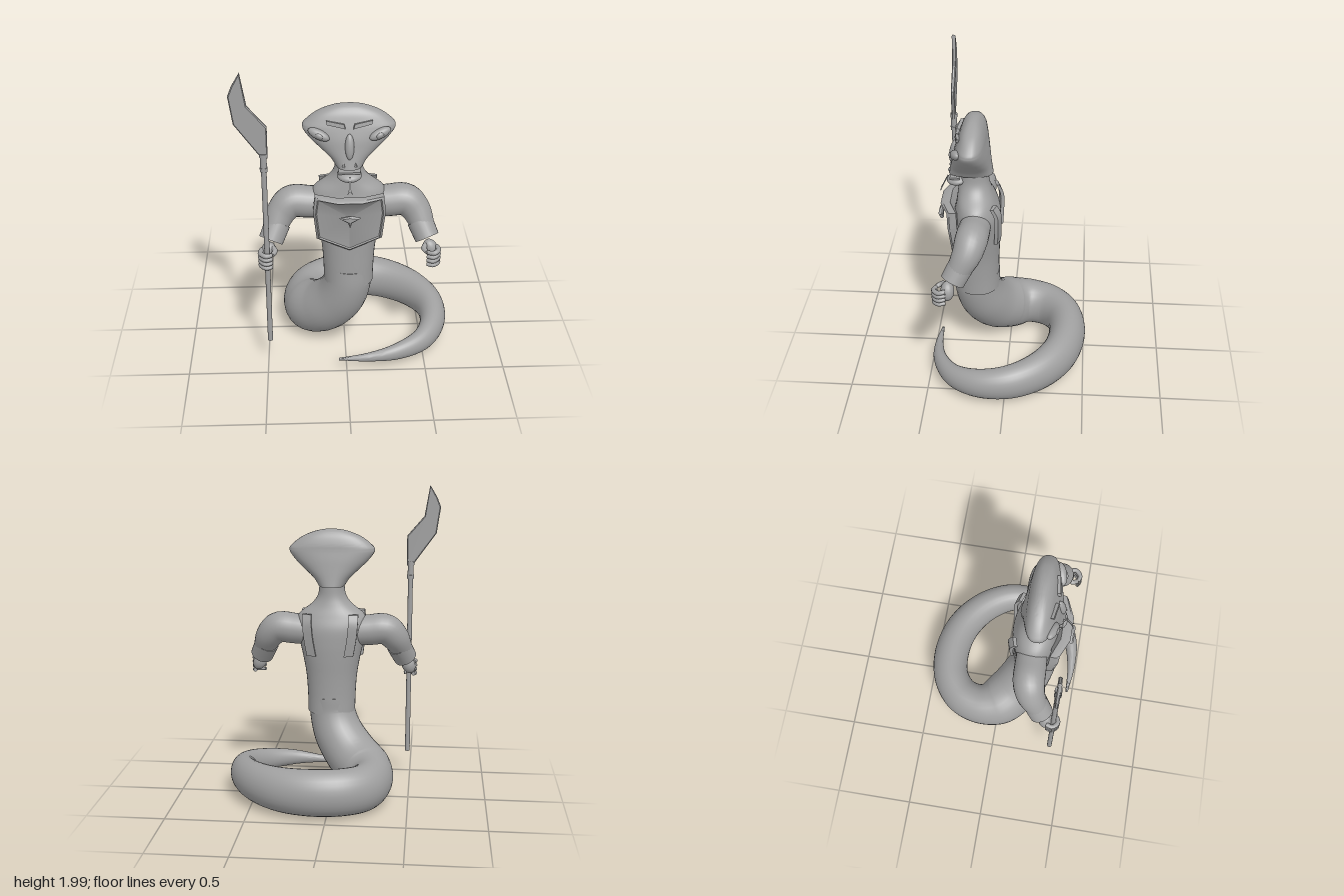
import * as THREE from 'three';
import { toCreasedNormals } from 'three/addons/utils/BufferGeometryUtils.js';

const V = (x, y, z) => new THREE.Vector3(x, y, z);
const CX = 0.02; // mirror plane of the upper body

export function createModel() {
  const model = new THREE.Group();
  const grey = new THREE.MeshStandardMaterial({ color: 0xa0a0a0 });
  grey.name = 'plain grey';

  function add(name, geo, pos = [0, 0, 0], rot = [0, 0, 0], scale = [1, 1, 1]) {
    const m = new THREE.Mesh(geo, grey);
    m.name = name;
    m.position.set(...pos);
    m.rotation.set(...rot);
    m.scale.set(...scale);
    model.add(m);
    return m;
  }

  // Closed skin over a list of rings, always facing outwards
  function skin(rings) {
    const n = rings[0].length, p = [], idx = [];
    const centre = r => r.reduce((a, v) => a.add(v), V(0, 0, 0)).divideScalar(n);
    rings.forEach(r => r.forEach(v => p.push(v)));
    p.push(centre(rings[0]), centre(rings[rings.length - 1]));
    const last = (rings.length - 1) * n;
    for (let j = 0; j < n; j++) {
      const k = (j + 1) % n;
      for (let o = 0; o < last; o += n) idx.push(o + j, o + k, o + n + j, o + k, o + n + k, o + n + j);
      idx.push(p.length - 2, k, j, p.length - 1, last + j, last + k);
    }
    let volume = 0;
    for (let i = 0; i < idx.length; i += 3)
      volume += p[idx[i]].dot(p[idx[i + 1]].clone().cross(p[idx[i + 2]]));
    if (volume < 0) idx.reverse();
    const g = new THREE.BufferGeometry().setFromPoints(p);
    g.setIndex(idx);
    return toCreasedNormals(g, 0.8);
  }

  // Stack of horizontal sections: [y, half width, front z, back z]
  function stack(rows, steps, pow) {
    const a = new THREE.CatmullRomCurve3(rows.map(r => V(r[0], r[1], 0)), false, 'catmullrom');
    const b = new THREE.CatmullRomCurve3(rows.map(r => V(r[2], r[3], 0)), false, 'catmullrom');
    const bend = c => Math.sign(c) * Math.abs(c) ** pow;
    const rings = [];
    for (let i = 0; i <= steps; i++) {
      const { x: y, y: w } = a.getPoint(i / steps), { x: f, y: k } = b.getPoint(i / steps);
      rings.push(Array.from({ length: 40 }, (_, j) => {
        const t = j / 40 * Math.PI * 2;
        return V(CX + w * bend(Math.cos(t)), y, (f + k) / 2 + (f - k) / 2 * bend(Math.sin(t)));
      }));
    }
    return skin(rings);
  }

  // Tapering tube: [x, y, z, radius, vertical stretch]
  function taper(rows, steps, sides) {
    const path = new THREE.CatmullRomCurve3(rows.map(r => V(r[0], r[1], r[2])));
    const size = new THREE.CatmullRomCurve3(rows.map(r => V(r[3], r[4] || 1, 0)), false, 'catmullrom');
    const N = V(0.13, 0.21, 0.97), rings = [];
    for (let i = 0; i <= steps; i++) {
      const c = path.getPoint(i / steps), T = path.getTangent(i / steps), s = size.getPoint(i / steps);
      N.addScaledVector(T, -N.dot(T)).normalize();
      const B = T.clone().cross(N);
      rings.push(Array.from({ length: sides }, (_, j) => {
        const t = j / sides * Math.PI * 2;
        const o = N.clone().multiplyScalar(Math.cos(t) * s.x).addScaledVector(B, Math.sin(t) * s.x);
        o.y *= s.y;
        return o.add(c);
      }));
    }
    return skin(rings);
  }

  // Flat outline extruded towards +z
  function plate(points, depth, bevel = 0) {
    return new THREE.ExtrudeGeometry(new THREE.Shape(points.map(p => new THREE.Vector2(...p))),
      { depth, bevelEnabled: bevel > 0, bevelSize: bevel, bevelThickness: bevel, bevelOffset: -bevel, bevelSegments: 1 });
  }
  const ball = new THREE.SphereGeometry(1, 20, 14);

  // Torso and neck
  add('torso', stack([
    [0.53, 0.155, 0.35, 0.065], [0.65, 0.158, 0.352, 0.068], [0.78, 0.167, 0.352, 0.065],
    [0.9, 0.187, 0.352, 0.058], [1.0, 0.21, 0.352, 0.055], [1.1, 0.235, 0.345, 0.06],
    [1.18, 0.215, 0.33, 0.085], [1.25, 0.13, 0.32, 0.11], [1.31, 0.09, 0.31, 0.125],
    [1.39, 0.08, 0.3, 0.13]], 50, 0.95));

  // Coiled tail
  add('tail', taper([
    [0.02, 0.64, 0.21, 0.147], [0.015, 0.52, 0.21, 0.15], [-0.03, 0.38, 0.175, 0.162],
    [-0.13, 0.25, 0.1, 0.172], [-0.225, 0.185, 0, 0.168, 1.04], [-0.265, 0.17, -0.12, 0.138, 1.14],
    [-0.225, 0.165, -0.26, 0.125, 1.22], [-0.1, 0.17, -0.36, 0.12, 1.26], [0.09, 0.17, -0.388, 0.12, 1.25],
    [0.3, 0.165, -0.335, 0.114, 1.25], [0.475, 0.16, -0.2, 0.104, 1.25], [0.575, 0.152, -0.02, 0.092, 1.24],
    [0.575, 0.135, 0.17, 0.08, 1.2], [0.49, 0.115, 0.33, 0.064, 1.2], [0.32, 0.1, 0.435, 0.045, 1.2],
    [0.14, 0.085, 0.467, 0.026, 1.1], [-0.05, 0.07, 0.462, 0.008]], 110, 28));

  // Hooded head
  add('head', stack([
    [1.37, 0.085, 0.375, 0.1], [1.42, 0.118, 0.362, 0.108], [1.48, 0.18, 0.348, 0.117],
    [1.54, 0.24, 0.335, 0.126], [1.6, 0.277, 0.317, 0.137], [1.64, 0.25, 0.303, 0.143],
    [1.685, 0.19, 0.285, 0.158], [1.715, 0.12, 0.263, 0.178], [1.73, 0.06, 0.242, 0.198],
    [1.735, 0.01, 0.222, 0.218]], 45, 0.78));

  // Face details
  for (const s of [1, -1]) {
    add('eye', ball, [CX + s * 0.18, 1.578, 0.312], [0, s * 0.3, s * 0.38], [0.07, 0.03, 0.03]);
    add('pupil', ball, [CX + s * 0.178, 1.577, 0.338], [0, s * 0.3, s * 0.38], [0.024, 0.016, 0.012]);
    add('brow', plate([[0.022, -0.018], [0.13, 0.006], [0.136, 0.03], [0.03, 0.01]].map(p => [s * p[0], p[1]]), 0.02),
      [CX, 1.63, 0.31], [-0.2, s * 0.12, 0]);
    add('nostril', new THREE.ConeGeometry(0.013, 0.026, 3), [CX + s * 0.035, 1.402, 0.366]);
  }
  add('foreheadGem', ball, [CX, 1.508, 0.343], [-0.2, 0, 0], [0.027, 0.078, 0.024]);

  // Lower jaw and forked tongue
  add('jaw', ball, [CX, 1.315, 0.32], [0.15, 0, 0], [0.075, 0.032, 0.07]);
  add('lip', new THREE.BoxGeometry(0.13, 0.012, 0.06), [CX, 1.345, 0.335]);
  add('tongue', plate([[-0.006, 0], [-0.006, -0.075], [-0.018, -0.11], [0, -0.085], [0.018, -0.11],
    [0.006, -0.075], [0.006, 0]], 0.006), [CX, 1.33, 0.38], [-0.45, 0, 0]);

  // Bowed chest plate with raised rim
  const bow = (x, y) => 0.41 - 0.055 * Math.max(0, Math.abs(x) - 0.08) / 0.14 - 0.045 * Math.max(0, 1.0 - y) / 0.18;
  const bib = [[-0.208, 1.185], [-0.22, 1.08], [-0.2, 0.89], [0, 0.82], [0.2, 0.89], [0.22, 1.08], [0.208, 1.185]];
  function bibPart(k, back, front) {
    const rows = bib.map(([x, y]) => [x * k, 1.02 + (y - 1.02) * k]);
    // Outline gets extra points along the top so that it bows
    rows.push([0.08 * k, 1.02 + 0.165 * k], [-0.08 * k, 1.02 + 0.165 * k]);
    return skin([[1, back], [1, front - 0.015], [0.93, front], [0.9, front - 0.008]].map(([f, d]) =>
      rows.map(([x, y]) => V(CX + x * f, 1.02 + (y - 1.02) * f, bow(x, y) + d))));
  }
  add('chestPlate', bibPart(1, -0.045, 0.015));

  // Chest ornament
  add('chestOrnament', plate([[-0.062, 0.015], [0, 0.03], [0.062, 0.015], [0.012, -0.015], [0, -0.05], [-0.012, -0.015]],
    0.012, 0.008), [CX, 1.065, 0.425]);

  // Back straps
  for (const s of [1, -1]) {
    const line = new THREE.CatmullRomCurve3([V(0.15, 1.2, 0.08), V(0.148, 1.14, 0.054), V(0.14, 1.05, 0.052), V(0.12, 0.93, 0.058)]);
    const rings = [];
    for (let i = 0; i <= 10; i++) {
      const p = line.getPoint(i / 10);
      rings.push([[-0.03, 0.012], [0.03, 0.03], [0.03, 0.008], [-0.03, -0.01]].map(([x, z]) =>
        V(CX + s * (p.x + x), p.y, p.z + z)));
    }
    add('backStrap', skin(rings));
  }

  // Arms, cuffs and fists
  for (const s of [1, -1]) {
    const X = x => CX + s * x;
    add('arm', taper([
      [X(0.14), 1.07, 0.2, 0.095], [X(0.25), 1.08, 0.205, 0.1], [X(0.35), 1.085, 0.21, 0.1],
      [X(0.41), 1.03, 0.23, 0.092], [X(0.45), 0.95, 0.272, 0.076], [X(0.475), 0.88, 0.31, 0.06]], 26, 24));
    const a = V(X(0.437), 0.965, 0.262), b = V(X(0.48), 0.872, 0.315);
    const cuff = add('cuff', new THREE.CylinderGeometry(0.08, 0.076, a.distanceTo(b), 24), a.clone().lerp(b, 0.5).toArray());
    cuff.quaternion.setFromUnitVectors(V(0, 1, 0), a.clone().sub(b).normalize());
    add('palm', ball, [X(0.5), 0.815, 0.345], [0, 0, s * 0.4], [0.045, 0.062, 0.042]);
    // Fingers curl round the grip
    for (let i = 0; i < 4; i++) {
      const y = 0.832 - i * 0.028, r = 0.015 - i * 0.0005;
      add('finger', taper([[X(0.535), y, 0.355, r], [X(0.545), y - 0.004, 0.395, r],
        [X(0.51), y - 0.008, 0.428, r], [X(0.472), y - 0.008, 0.415, r * 0.8]], 10, 10));
    }
    add('thumb', taper([[X(0.48), 0.85, 0.345, 0.017], [X(0.455), 0.835, 0.38, 0.017], [X(0.47), 0.825, 0.415, 0.013]], 8, 10));
  }

  // Polearm
  const px = -0.483, pz = 0.398;
  add('pole', new THREE.CylinderGeometry(0.016, 0.016, 1.28, 16), [px, 0.83, pz]);
  add('poleSocket', new THREE.CylinderGeometry(0.018, 0.02, 0.1, 16), [px, 1.445, pz]);
  for (const y of [1.4, 1.49]) add('poleRing', new THREE.CylinderGeometry(0.023, 0.023, 0.025, 16), [px, y, pz]);
  add('blade', plate([[-0.6, 2.0], [-0.648, 1.92], [-0.672, 1.86], [-0.648, 1.69], [-0.505, 1.49], [-0.458, 1.472],
    [-0.457, 1.67], [-0.567, 1.8]], 0.012, 0.006), [0, 0, pz - 0.006]);

  return model;
}
